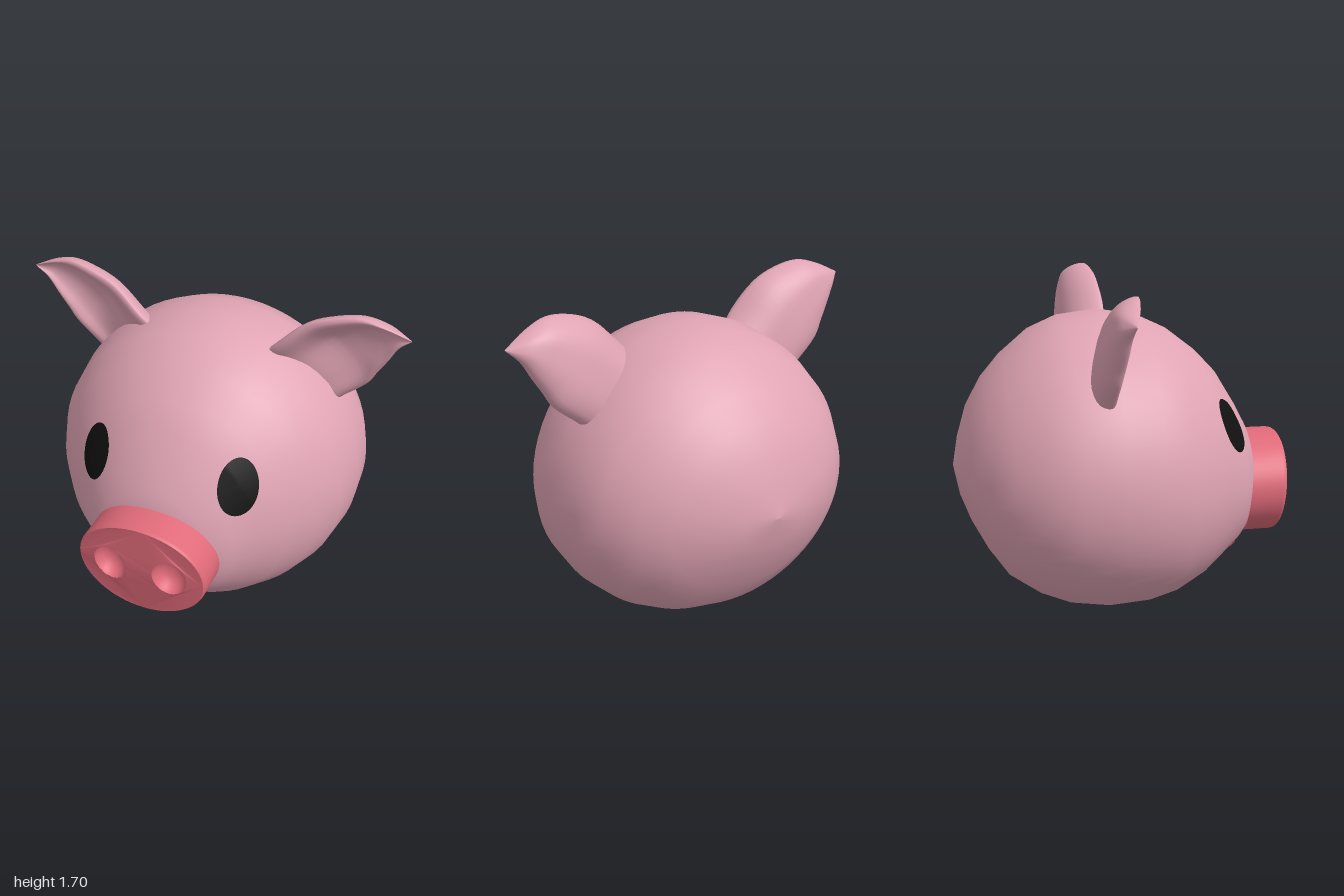
import * as THREE from 'three';

const material = (name, color, extra = {}) => {
  const m = new THREE.MeshStandardMaterial({ color, ...extra });
  m.name = name;
  return m;
};

// Skins a list of closed rings; rings run counter-clockwise about the row direction
function loft(rows) {
  const n = rows[0].length, pos = [], index = [];
  rows.forEach(r => r.forEach(p => pos.push(p.x, p.y, p.z)));
  for (let i = 0; i < rows.length - 1; i++) {
    for (let j = 0; j < n; j++) {
      const a = i * n + j, b = i * n + (j + 1) % n;
      index.push(a, b, a + n, b, b + n, a + n);
    }
  }
  const g = new THREE.BufferGeometry();
  g.setAttribute('position', new THREE.Float32BufferAttribute(pos, 3));
  g.setIndex(index);
  g.computeVertexNormals();
  return g;
}

const ring = (n, fn) => Array.from({ length: n }, (_, j) => fn(j / n * Math.PI * 2));
const V = (x, y, z) => new THREE.Vector3(x, y, z);

// Head sections from back to front: z, top, bottom, half width
const HEAD = [
  [-0.86, 0.77, 0.77, 0.005], [-0.83, 0.92, 0.62, 0.2], [-0.78, 1.08, 0.49, 0.36],
  [-0.7, 1.22, 0.34, 0.51], [-0.6, 1.335, 0.2, 0.635], [-0.45, 1.46, 0.1, 0.74],
  [-0.3, 1.525, 0.04, 0.79], [-0.1, 1.55, 0.01, 0.805], [0.1, 1.52, 0.02, 0.775],
  [0.25, 1.45, 0.055, 0.705], [0.4, 1.335, 0.13, 0.595], [0.5, 1.23, 0.205, 0.49],
  [0.6, 1.07, 0.29, 0.39], [0.66, 0.96, 0.36, 0.31], [0.7, 0.86, 0.44, 0.2],
  [0.72, 0.65, 0.65, 0.005],
];

function headGeometry() {
  return loft(HEAD.map(([z, top, bottom, w]) => ring(64, a => {
    const v = Math.sin(a);
    return V(w * Math.cos(a) * (1 - 0.05 * v), (top + bottom) / 2 + (top - bottom) / 2 * v, z);
  })));
}

// Depth of the face surface at x, y
function faceZ(x, y) {
  let lo = 0, hi = 0.72;
  for (let k = 0; k < 30; k++) {
    const z = (lo + hi) / 2;
    const i = HEAD.findIndex(r => r[0] > z), p = HEAD[i - 1], q = HEAD[i];
    const t = (z - p[0]) / (q[0] - p[0]);
    const [, top, bottom, w] = p.map((c, m) => c + (q[m] - c) * t);
    const v = (2 * y - top - bottom) / (top - bottom);
    const inside = Math.abs(v) < 1 && Math.abs(x) < w * (1 - 0.05 * v) * Math.sqrt(1 - v * v);
    if (inside) lo = z; else hi = z;
  }
  return lo;
}

// Thin patch laid on the face, shrinking from an outline to a core
function facePatch(outline, core) {
  const rows = [];
  for (let k = 0; k <= 6; k++) {
    rows.push(ring(48, a => {
      const [ox, oy] = outline(a), [cx, cy] = core(a), t = k / 6;
      const x = ox + (cx - ox) * t, y = oy + (cy - oy) * t;
      return V(x, y, faceZ(x, y) + 0.009);
    }));
  }
  return loft(rows);
}

// Ear: cupped sections between an upper and a lower edge, from root to tip
function earGeometry(side) {
  const curve = pts => new THREE.CatmullRomCurve3(pts.map(p => V(...p)));
  const upper = curve([[0.27, 1.4, -0.04], [0.36, 1.5, -0.01], [0.5, 1.635, -0.02],
    [0.63, 1.69, -0.03], [0.76, 1.71, -0.05], [0.87, 1.68, -0.07], [1, 1.615, -0.1]]);
  const lower = curve([[0.56, 1.08, -0.14], [0.665, 1.185, -0.15], [0.8, 1.305, -0.15],
    [0.845, 1.385, -0.14], [0.89, 1.46, -0.13], [0.94, 1.55, -0.12], [0.999, 1.61, -0.102]]);
  // x: back bulge, y: front hollow, z: rim roll
  const depth = curve([[0.13, 0, 0.01], [0.14, 0.02, 0.015], [0.13, 0.07, 0.015],
    [0.12, 0.07, 0.015], [0.1, 0.055, 0.012], [0.07, 0.03, 0.01], [0.005, 0, 0]]);
  const rows = [];
  for (let i = 0; i <= 24; i++) {
    const t = i / 24, u = upper.getPoint(t), l = lower.getPoint(t), d = depth.getPoint(t);
    const [b, c, r] = [d.x, d.y, d.z];
    const section = [[0, 0], [0.08, r], [0.2, -c * 0.2], [0.36, -c], [0.6, -c], [0.8, -c * 0.5],
      [0.93, r], [1, 0], [0.95, -b * 0.45], [0.75, -b * 0.85], [0.5, -b], [0.25, -b], [0.06, -b * 0.6]];
    const pts = section.map(([s, z]) => u.clone().lerp(l, s).add(V(0, 0, z)));
    const loop = new THREE.CatmullRomCurve3(pts, true).getPoints(39).slice(0, -1);
    loop.forEach(p => { p.x *= side; });
    rows.push(side > 0 ? loop : loop.reverse());
  }
  return loft(rows);
}

// Snout: slightly domed oval front with two hollow nostrils
const SNOUT = { y: 0.615, rx: 0.335, ry: 0.27 };
const NOSTRIL = { x: 0.157, y: 0.625, rx: 0.088, ry: 0.105 };
const snoutZ = (x, y) => 0.86 - 0.25 * x * x - 0.25 * (y - 0.76) ** 2;

function snoutSide() {
  const rows = [[1, null], [1, 0.018], [0.993, 0.006], [0.975, 0]];
  return loft(rows.map(([s, drop]) => ring(64, a => {
    const x = SNOUT.rx * s * Math.cos(a), y = SNOUT.y + SNOUT.ry * s * Math.sin(a);
    return V(x, y, drop === null ? 0.55 : snoutZ(x, y) - drop);
  })));
}

function snoutFront() {
  const shape = new THREE.Shape();
  shape.absellipse(0, SNOUT.y, SNOUT.rx * 0.975, SNOUT.ry * 0.975, 0, Math.PI * 2);
  for (const s of [-1, 1]) {
    const hole = new THREE.Path();
    hole.absellipse(s * NOSTRIL.x, NOSTRIL.y, NOSTRIL.rx, NOSTRIL.ry, 0, Math.PI * 2, true);
    shape.holes.push(hole);
  }
  const g = new THREE.ShapeGeometry(shape, 32);
  const p = g.attributes.position;
  for (let i = 0; i < p.count; i++) p.setZ(i, snoutZ(p.getX(i), p.getY(i)));
  g.computeVertexNormals();
  return g;
}

function nostril(side) {
  const rows = [[1, 0], [0.95, 0.025], [0.82, 0.05], [0.6, 0.07], [0.3, 0.08], [0.005, 0.083]];
  return loft(rows.map(([s, d]) => ring(32, a => {
    const x = side * NOSTRIL.x + NOSTRIL.rx * s * Math.cos(a);
    const y = NOSTRIL.y + NOSTRIL.ry * s * Math.sin(a);
    return V(x, y, snoutZ(x, y) - d);
  })));
}

export function createModel() {
  const skin = material('pink skin', 0xe0a4b4);
  const snoutRed = material('snout rose', 0xe06a79);
  const black = material('eye black', 0x111111, { side: THREE.DoubleSide });
  const mouthRed = material('mouth red', 0xa84e5a, { side: THREE.DoubleSide });

  const model = new THREE.Group();
  model.name = 'pigHead';
  const add = (parent, name, geometry, mat) => {
    const mesh = new THREE.Mesh(geometry, mat);
    mesh.name = name;
    parent.add(mesh);
  };

  add(model, 'head', headGeometry(), skin);

  const snout = new THREE.Group();
  snout.name = 'snout';
  model.add(snout);
  add(snout, 'snoutSide', snoutSide(), snoutRed);
  add(snout, 'snoutFront', snoutFront(), snoutRed);

  for (const [label, s] of [['left', 1], ['right', -1]]) {
    add(model, label + 'Ear', earGeometry(s), skin);
    add(snout, label + 'Nostril', nostril(s), snoutRed);
    const eye = facePatch(
      a => [s * 0.377 + 0.085 * Math.cos(a) - s * 0.02 * Math.sin(a), 1.005 + 0.133 * Math.sin(a)],
      () => [s * 0.377, 1.005]);
    add(model, label + 'Eye', eye, black);
  }

  // Smile: a curved stroke with rounded ends
  const smile = x => 0.28 + 0.9 * x * x;
  const mouth = facePatch(a => {
    const x = 0.25 * Math.cos(a);
    return [x, smile(x) + 0.014 * Math.max(-1, Math.min(1, 3 * Math.sin(a)))];
  }, a => [0.25 * Math.cos(a), smile(0.25 * Math.cos(a))]);
  add(model, 'mouth', mouth, mouthRed);

  return model;
}
